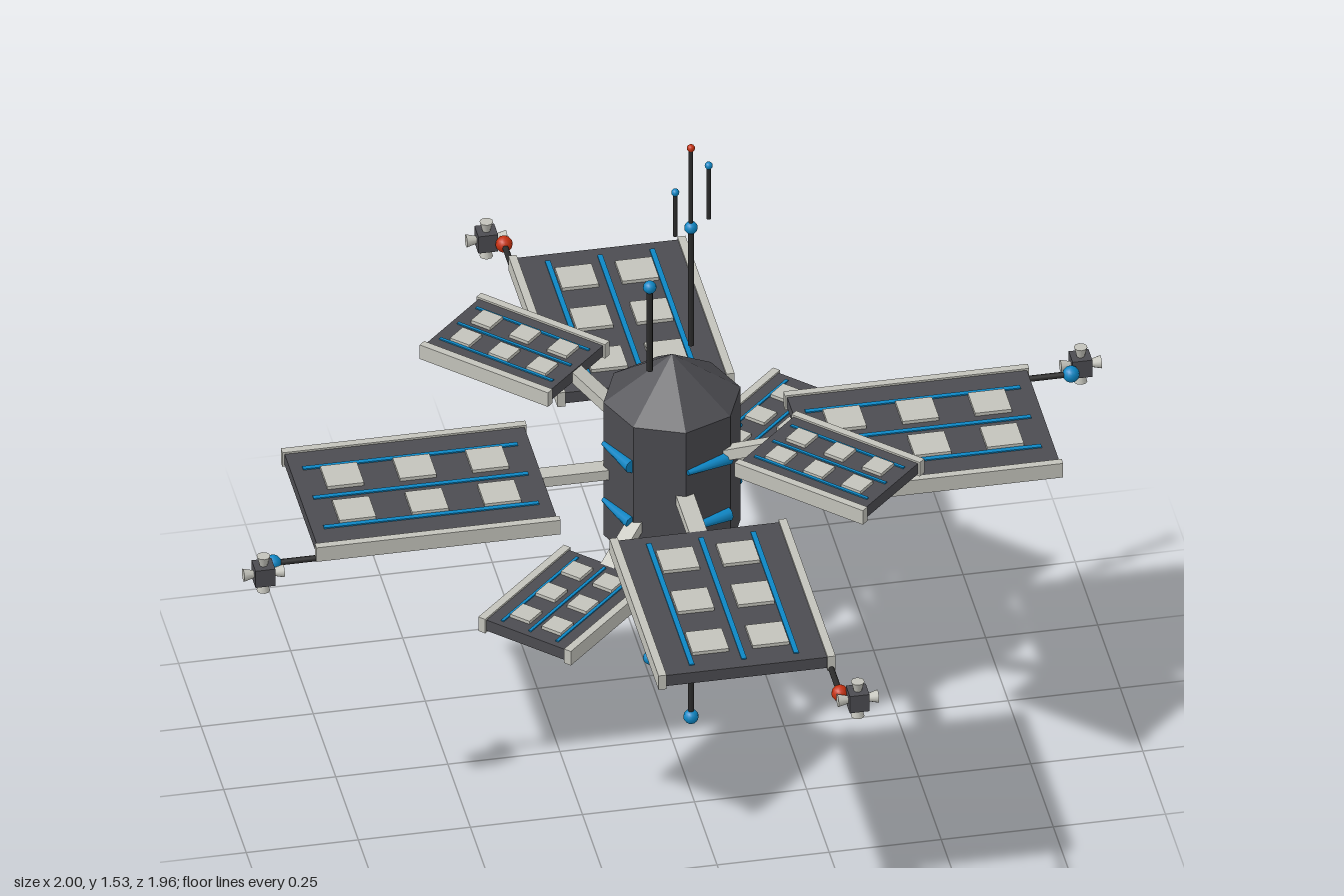
import * as THREE from 'three';

const mat = (name, color) => {
  const m = new THREE.MeshStandardMaterial({ color });
  m.name = name;
  return m;
};

export function createModel() {
  const hull = mat('dark grey hull', 0x4c4c51);
  const pale = mat('pale grey', 0xc3c3bb);
  const blue = mat('blue', 0x0c86c4);
  const red = mat('red', 0xc4300f);
  const rod = mat('black rod', 0x2b2b2b);
  hull.flatShading = true;

  const root = new THREE.Group();
  root.name = 'spaceStation';

  const add = (parent, name, geo, material, x = 0, y = 0, z = 0) => {
    const m = new THREE.Mesh(geo, material);
    m.name = name;
    m.position.set(x, y, z);
    parent.add(m);
    return m;
  };
  const box = (p, name, m, w, h, d, x, y, z) => add(p, name, new THREE.BoxGeometry(w, h, d), m, x, y, z);
  const ball = (p, name, m, r, x, y, z) => add(p, name, new THREE.SphereGeometry(r, 12, 8), m, x, y, z);

  // Eight-sided core with pointed caps
  const R = 0.153;
  add(root, 'coreBody', new THREE.CylinderGeometry(R, R, 0.35, 8, 1, true), hull, 0, 0.735, 0);
  add(root, 'topCap', new THREE.ConeGeometry(R, 0.108, 8, 1, true), hull, 0, 0.964, 0);
  add(root, 'bottomCap', new THREE.CylinderGeometry(R, 0, 0.12, 8, 1, true), hull, 0, 0.5, 0);

  // Blue tapered lights on every other face of the core
  for (let k = 0; k < 4; k++) {
    const g = new THREE.Group();
    g.name = 'coreLights';
    g.rotation.y = Math.PI / 8 + k * Math.PI / 2;
    root.add(g);
    for (const y of [0.805, 0.656]) {
      const light = add(g, 'coreLight', new THREE.CylinderGeometry(0.006, 0.016, 0.11, 8), blue, 0, y, 0.143);
      light.rotation.z = Math.PI / 2;
    }
  }

  // Solar panel lying along +x, with side rails, stripes and 2 x 3 raised cells
  const panel = (name, start, length, width, y) => {
    const g = new THREE.Group();
    g.name = name;
    g.position.y = y;
    root.add(g);
    const mid = start + length / 2;
    box(g, 'panelPlate', hull, length - 0.01, 0.028, width - 0.02, mid, 0, 0);
    for (const s of [-1, 1]) {
      box(g, 'sideRail', pale, length, 0.037, 0.018, mid, 0, s * (width / 2 - 0.009));
      for (const i of [-1, 0, 1]) {
        const c = length * 0.15;
        box(g, 'panelCell', pale, c, 0.044, c, mid + i * length * 0.297, 0, s * width * 0.17);
      }
    }
    for (const i of [-1, 0, 1]) {
      box(g, 'panelStripe', blue, length * 0.88, 0.034, length * 0.021, mid, 0, i * width * 0.295);
    }
    return g;
  };

  // Horn-ended thruster block at the tip of each arm
  const thruster = (parent, x, z, turn) => {
    const g = new THREE.Group();
    g.name = 'thruster';
    g.position.set(x, -0.015, z);
    g.rotation.y = -turn;
    parent.add(g);
    box(g, 'thrusterBlock', hull, 0.044, 0.044, 0.044, 0, 0, 0);
    for (let k = 0; k < 4; k++) {
      const a = k * Math.PI / 2;
      const horn = add(g, 'thrusterHorn', new THREE.CylinderGeometry(0.015, 0.008, 0.026, 10), pale,
        -Math.sin(a) * 0.032, Math.cos(a) * 0.032, 0);
      horn.rotation.z = a;
    }
  };

  for (let k = 0; k < 4; k++) {
    // Large panels with straight strut and tip arm
    const turn = k * Math.PI / 2;
    const g = panel('largePanel', 0.288, 0.545, 0.395, 0.73);
    g.rotation.y = turn;
    box(g, 'strut', pale, 0.16, 0.025, 0.04, 0.22, 0, 0);
    const arm = add(g, 'tipArm', new THREE.CylinderGeometry(0.007, 0.007, 0.12, 8), rod, 0.87, -0.015, -0.188);
    arm.rotation.z = Math.PI / 2;
    ball(g, 'tipLight', k % 2 ? red : blue, 0.019, 0.928, -0.015, -0.188);
    thruster(g, 0.956, -0.222, turn);

    // Small diagonal panels, alternately high and low, on sloping struts
    const side = k % 2 ? 1 : -1;
    const small = panel('smallPanel', 0.245, 0.337, 0.243, side > 0 ? 0.873 : 0.588);
    small.rotation.y = Math.PI / 4 + turn;
    const strut = box(small, 'slopingStrut', pale, 0.15, 0.025, 0.035, 0.195, -side * 0.033, 0);
    strut.rotation.z = side * 0.5;
  }

  // Antennas: x, z, bottom, top
  const antenna = (x, z, y0, y1, r = 0.007) =>
    add(root, 'antenna', new THREE.CylinderGeometry(r, r, y1 - y0, 8), rod, x, (y0 + y1) / 2, z);
  antenna(-0.055, 0.027, 1.0, 1.22);
  antenna(0.053, -0.053, 1.0, 1.31);
  antenna(0.053, -0.053, 1.31, 1.52, 0.005);
  antenna(0.013, -0.028, 1.31, 1.425, 0.005);
  antenna(0.098, -0.08, 1.31, 1.45, 0.005);
  antenna(-0.055, 0.027, 0.24, 0.455);
  antenna(0.053, -0.053, 0.02, 0.455);

  // Antenna lights: x, y, z, radius
  for (const [x, y, z, r] of [
    [-0.055, 1.22, 0.027, 0.015], [0.053, 1.31, -0.053, 0.015],
    [0.013, 1.425, -0.028, 0.009], [0.098, 1.45, -0.08, 0.009],
    [-0.055, 0.24, 0.027, 0.015], [0.053, 0.15, -0.053, 0.014], [0.053, 0.017, -0.053, 0.017],
  ]) ball(root, 'antennaLight', blue, r, x, y, z);
  ball(root, 'mastBeacon', red, 0.009, 0.053, 1.52, -0.053);

  return root;
}
